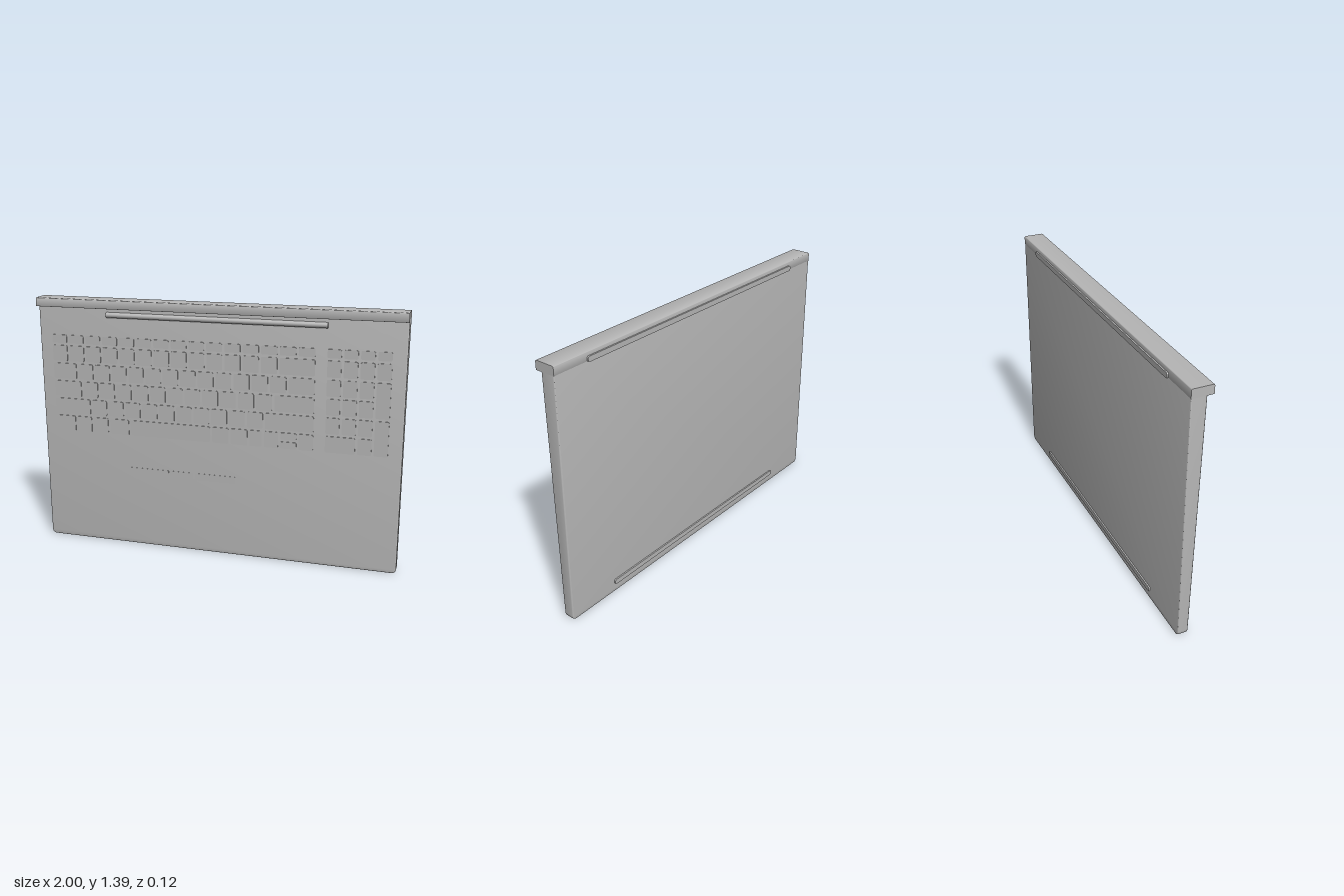
import * as THREE from 'three';
import { toCreasedNormals } from 'three/addons/utils/BufferGeometryUtils.js';

const BACK = -0.052;              // z of the flat underside
const SLOPE = 0.0172;             // the deck thickens towards the hinge
const deckZ = (y) => 0.005 + SLOPE * y;

// Rectangle with rounded corners; top and bottom radii may differ
function roundedRect(x0, y0, x1, y1, rb, rt = rb) {
  const s = new THREE.Shape();
  s.moveTo(x0 + rb, y0);
  s.lineTo(x1 - rb, y0);
  s.quadraticCurveTo(x1, y0, x1, y0 + rb);
  s.lineTo(x1, y1 - rt);
  s.quadraticCurveTo(x1, y1, x1 - rt, y1);
  s.lineTo(x0 + rt, y1);
  s.quadraticCurveTo(x0, y1, x0, y1 - rt);
  s.lineTo(x0, y0 + rb);
  s.quadraticCurveTo(x0, y0, x0 + rb, y0);
  return s;
}

export function createModel() {
  const model = new THREE.Group();
  model.name = 'laptopBase';
  const grey = new THREE.MeshStandardMaterial({ color: 0xb6b6b6 });
  grey.name = 'casing grey';

  function add(name, geometry, parent = model) {
    const mesh = new THREE.Mesh(geometry, grey);
    mesh.name = name;
    parent.add(mesh);
    return mesh;
  }

  // Wedge shaped casing: a bevelled slab whose front vertices follow the slope
  const b = 0.006;
  const casing = new THREE.ExtrudeGeometry(
    roundedRect(-1 + b, b, 1 - b, 1.353 - b, 0.02, 0.002),
    { depth: 0.057 - 2 * b, bevelSize: b, bevelThickness: b, bevelSegments: 3, curveSegments: 6 });
  casing.translate(0, 0, BACK + b);
  const p = casing.attributes.position;
  for (let i = 0; i < p.count; i++) {
    if (p.getZ(i) > -0.02) p.setZ(i, p.getZ(i) + SLOPE * p.getY(i));
  }
  add('casing', toCreasedNormals(casing, 0.6));

  // Rear block with the lip that overhangs the deck
  const lip = new THREE.ExtrudeGeometry(
    roundedRect(BACK, 1.345, 0.061, 1.393, 0.002, 0.008),
    { depth: 2, bevelEnabled: false, curveSegments: 4 });
  lip.translate(0, 0, -1);
  lip.rotateY(-Math.PI / 2);
  // the turn maps the profile's x onto z
  add('rearLip', toCreasedNormals(lip, 0.6));

  // Hinge barrel
  const barrel = add('hingeBarrel', new THREE.CylinderGeometry(0.015, 0.015, 1.2, 24));
  barrel.rotation.z = Math.PI / 2;
  barrel.position.set(0, 1.31, 0.031);

  // Long rubber feet on the underside
  for (const [name, half, y] of [['rearFoot', 0.8, 1.357], ['frontFoot', 0.7, 0.06]]) {
    const foot = add(name, new THREE.ExtrudeGeometry(
      roundedRect(-half, -0.014, half, 0.014, 0.012),
      { depth: 0.012, bevelEnabled: false, curveSegments: 5 }));
    foot.position.set(0, y, -0.06);
  }

  // Thin plates lying on the sloping deck
  const deck = new THREE.Group();
  deck.name = 'deckControls';
  deck.position.z = deckZ(0);
  deck.rotation.x = Math.atan(SLOPE);
  model.add(deck);
  function plate(name, x0, y0, x1, y1, gap, height, r) {
    const g = gap / 2;
    const geo = new THREE.ExtrudeGeometry(
      roundedRect(x0 + g, y0 + g, x1 - g, y1 - g, r),
      { depth: height + 0.002, bevelEnabled: false, curveSegments: 3 });
    geo.translate(0, 0, -0.002);
    add(name, geo, deck);
  }
  const key = (name, x0, y0, x1, y1) => plate(name, x0, y0, x1, y1, 0.013, 0.004, 0.009);

  // Main keyboard: widths in key units, 15 to a row
  const edges = [1.196, 1.137, 1.037, 0.937, 0.837, 0.737, 0.637];
  const unit = 0.0987, left = -0.935;
  const ones = (n) => Array(n).fill(1);
  const rows = [
    ones(15),
    [...ones(13), 2],
    [1.5, ...ones(12), 1.5],
    [1.75, ...ones(11), 2.25],
    [2.25, ...ones(10), 2.75],
    [1.3, 1, 1, 1.25, 4.75, 1.05, 1.05, 0.8, 0.9, 1, 0.9],
  ];
  rows.forEach((widths, r) => {
    let x = left;
    widths.forEach((w, i) => {
      const x1 = x + w * unit;
      if (r === 5 && i === 9) {
        // stacked half-height arrow keys
        const mid = (edges[5] + edges[6]) / 2;
        key('arrowUpKey', x, mid, x1, edges[5]);
        key('arrowDownKey', x, edges[6], x1, mid);
      } else {
        key('key', x, edges[r + 1], x1, edges[r]);
      }
      x = x1;
    });
  });

  // Number pad: column, row, column span, row span
  const padLeft = 0.595, padUnit = 0.0845;
  const pad = [];
  for (let r = 0; r < 6; r++) {
    for (let c = 0; c < 4; c++) {
      if (c === 3 && r > 1) continue;
      if (r === 5 && c < 2) continue;
      pad.push([c, r, 1, 1]);
    }
  }
  pad.push([3, 2, 1, 2], [3, 4, 1, 2], [0, 5, 2, 1]);
  for (const [c, r, w, h] of pad) {
    key('numberPadKey', padLeft + c * padUnit, edges[r + h],
      padLeft + (c + w) * padUnit, edges[r]);
  }

  // Pointer buttons above the touch area
  const splits = [-0.5, -0.262, -0.118, 0.12];
  for (let i = 0; i < 3; i++) {
    plate('pointerButton', splits[i], 0.413, splits[i + 1], 0.459, 0.005, 0.0015, 0.004);
  }
  return model;
}
